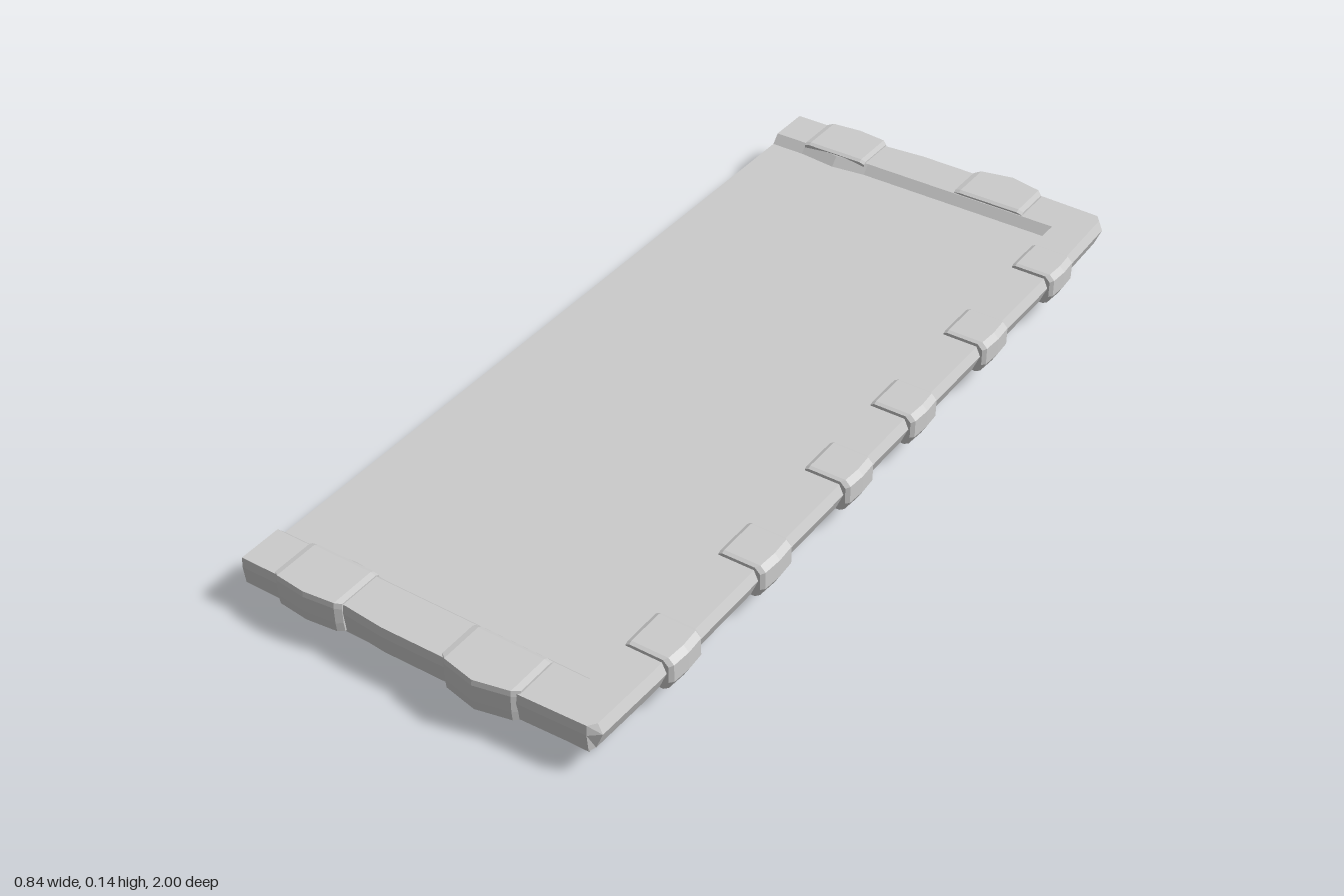
import * as THREE from 'three';

const BOTTOM = 0.065, FLOOR = 0.107, TOP = 0.127;
const material = new THREE.MeshStandardMaterial({ color: 0xcccccc, flatShading: true });

// Joins equal-sized cross-sections into a closed, capped solid
function loft(name, sections) {
  const pos = [];
  const tri = (...pts) => pts.forEach((p) => pos.push(...p));
  const n = sections[0].length;
  for (let i = 0; i < sections.length - 1; i++) {
    const s = sections[i], e = sections[i + 1];
    for (let j = 0; j < n; j++) {
      const k = (j + 1) % n;
      tri(s[j], s[k], e[k]);
      tri(s[j], e[k], e[j]);
    }
  }
  const first = sections[0], last = sections[sections.length - 1];
  for (let k = 1; k < n - 1; k++) {
    tri(first[0], first[k + 1], first[k]);
    tri(last[0], last[k], last[k + 1]);
  }
  const geo = new THREE.BufferGeometry();
  geo.setAttribute('position', new THREE.Float32BufferAttribute(pos, 3));
  geo.computeVertexNormals();
  const mesh = new THREE.Mesh(geo, material);
  mesh.name = name;
  return mesh;
}

function box(name, x0, x1, y0, y1, halfZ) {
  const mesh = new THREE.Mesh(new THREE.BoxGeometry(x1 - x0, y1 - y0, 2 * halfZ), material);
  mesh.position.set((x0 + x1) / 2, (y0 + y1) / 2, 0);
  mesh.name = name;
  return mesh;
}

// Rim: inner and outer plan points run round three sides of the slab
function rim() {
  const half = [ // [inner x, inner z, outer x, outer z, outward x, outward z]
    [-0.42, 0.875, -0.42, 0.975, 0, 1],
    [-0.34, 0.875, -0.34, 0.975, 0, 1],
    [-0.25, 0.865, -0.25, 0.975, 0, 1],
    [-0.17, 0.875, -0.17, 0.970, 0, 1],
    [-0.08, 0.875, -0.08, 0.978, 0, 1],
    [0.06, 0.875, 0.06, 0.977, 0, 1],
    [0.23, 0.875, 0.23, 0.978, 0, 1],
    [0.31, 0.875, 0.375, 0.973, 0, 1],
    [0.31, 0.875, 0.393, 0.955, 1, 0],
    [0.31, 0.800, 0.398, 0.800, 1, 0],
  ];
  const back = half.slice().reverse().map(([a, b, c, d, e, f]) => [a, -b, c, -d, e, -f]);
  const sections = [...half, ...back].map(([ix, iz, ox, oz, nx, nz]) => {
    const inX = ix > 0.3 ? ix - 0.012 : ix, inZ = iz - Math.sign(iz) * 0.018;
    return [
      [inX, BOTTOM, inZ],
      [inX, FLOOR, inZ],
      [ix, TOP, iz],
      [ox - nx * 0.006, TOP, oz - nz * 0.002],
      [ox + nx * 0.004, 0.105, oz],
      [ox - nx * 0.012, BOTTOM, oz - nz * 0.004],
    ];
  });
  return loft('rim', sections);
}

// Raised rim stone, built along x with its bulging face towards +z
function stone(name, center, width, inner, outer, bulge, top, bevel) {
  const sections = [-1, -0.85, 0, 0.85, 1].map((t) => {
    const end = Math.abs(t) === 1 ? 1 : 0;
    const x = center + t * width / 2;
    const o = outer + bulge * (1 - t * t) - end * 0.006;
    const y = top - end * 0.003;
    return [
      [x, BOTTOM - 0.001, inner],
      [x, y - 0.004, inner],
      [x, y, inner + 0.008],
      [x, y, o - bevel],
      [x, y - 0.012, o],
      [x, BOTTOM + 0.02, o],
      [x, BOTTOM - 0.001, o - bevel],
    ];
  });
  return loft(name, sections);
}

export function createModel() {
  const group = new THREE.Group();
  group.name = 'slab';
  group.add(box('base', -0.42, 0.338, 0, BOTTOM, 0.92));
  group.add(box('floor', -0.42, 0.302, BOTTOM, FLOOR, 0.862));
  group.add(rim());

  // Wide stones on the front and back ends
  for (const side of [1, -1]) {
    const stones = [
      stone('endStoneOuter', -0.258 * side, 0.162, 0.868, 0.978, 0.01, 0.133, 0.002),
      stone('endStoneInner', 0.145 * side, 0.175, 0.877, 0.978, 0.022, 0.135, 0.002),
    ];
    for (const s of stones) {
      if (side < 0) s.rotation.y = Math.PI;
      group.add(s);
    }
  }

  // Small stones along the long side
  [-0.73, -0.43, -0.13, 0.12, 0.42, 0.72].forEach((z, i) => {
    const s = stone('sideStone', -z, i % 3 === 1 ? 0.105 : 0.1, 0.313, 0.412, 0.004, 0.137, 0.012);
    s.rotation.y = Math.PI / 2;
    group.add(s);
  });
  return group;
}
